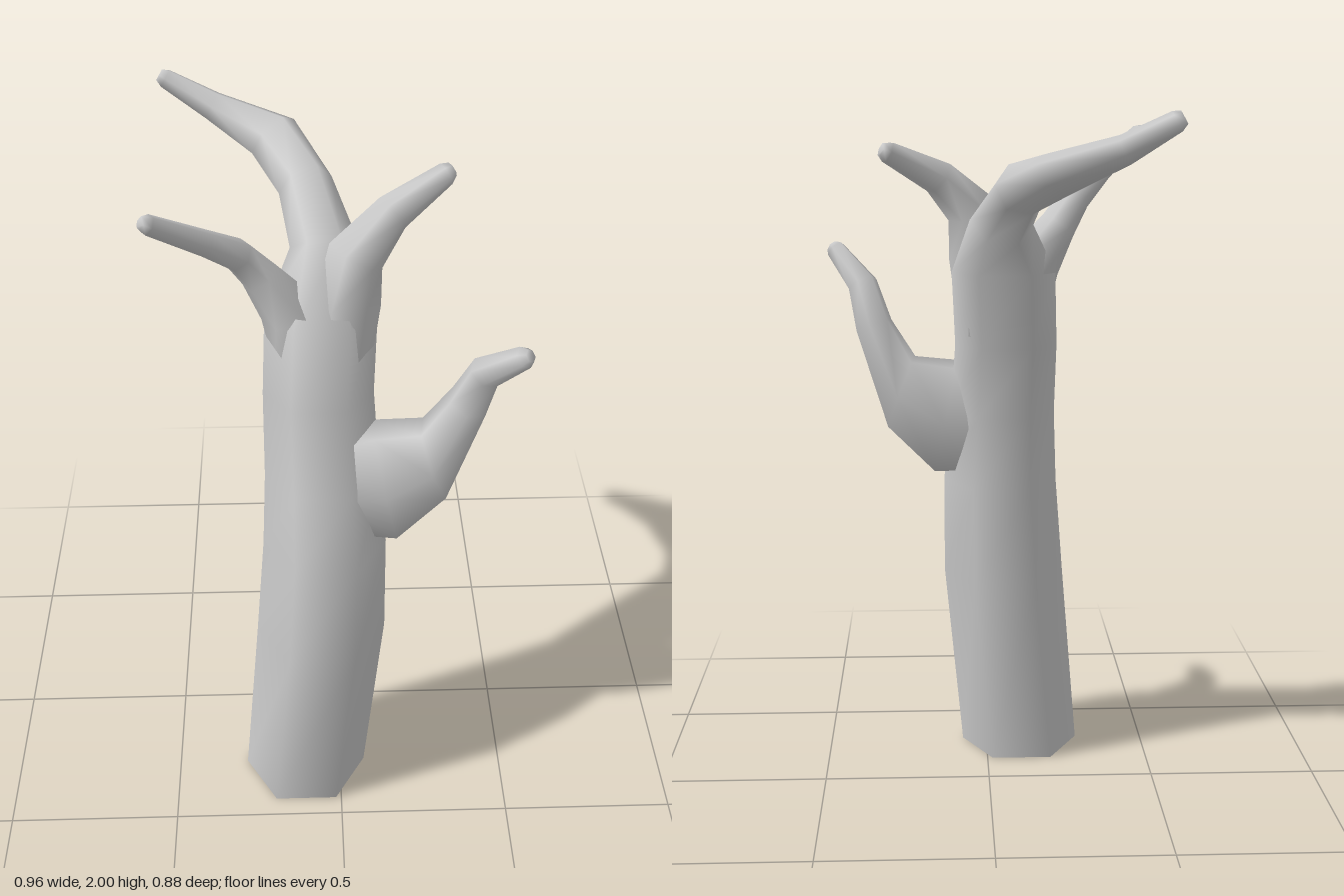
import * as THREE from 'three';

const UP = new THREE.Vector3(0, 1, 0);
const SIDES = 6;

// Skins six-sided rings along a path; the start is left open, the tip is closed.
// Each ring: [x, y, z, radius along the ring's axis, other radius, optional ring normal]
function loft(name, rings, material, firstAxis) {
  const centres = rings.map(r => new THREE.Vector3(r[0], r[1], r[2]));
  const last = rings.length - 1;
  const across = firstAxis ?? UP.clone().cross(centres[last].clone().sub(centres[0]));
  const pos = [], index = [];
  rings.forEach((r, i) => {
    const tangent = new THREE.Vector3();
    if (r[5]) tangent.copy(r[5]).normalize();
    else {
      if (i > 0) tangent.add(centres[i].clone().sub(centres[i - 1]).normalize());
      if (i < last) tangent.add(centres[i + 1].clone().sub(centres[i]).normalize());
      tangent.normalize();
    }
    // Carry the ring's axis along the path so the skin does not twist
    across.addScaledVector(tangent, -across.dot(tangent)).normalize();
    const other = across.clone().cross(tangent);
    for (let j = 0; j < SIDES; j++) {
      const a = j / SIDES * Math.PI * 2;
      const p = centres[i].clone()
        .addScaledVector(across, Math.cos(a) * r[3])
        .addScaledVector(other, Math.sin(a) * r[4] / 0.866);
      pos.push(p.x, p.y, p.z);
    }
  });
  for (let i = 0; i < last; i++) {
    for (let j = 0; j < SIDES; j++) {
      const a = i * SIDES + j, b = i * SIDES + (j + 1) % SIDES;
      index.push(a, a + SIDES, b, b, a + SIDES, b + SIDES);
    }
  }
  const tip = last * SIDES;
  for (let j = 1; j < SIDES - 1; j++) index.push(tip, tip + j + 1, tip + j);
  const geometry = new THREE.BufferGeometry();
  geometry.setAttribute('position', new THREE.Float32BufferAttribute(pos, 3));
  geometry.setIndex(index);
  geometry.computeVertexNormals();
  const mesh = new THREE.Mesh(geometry, material);
  mesh.name = name;
  return mesh;
}

export function createModel() {
  const group = new THREE.Group();
  group.name = 'bareTree';
  const bark = new THREE.MeshStandardMaterial({ color: 0xcccccc, side: THREE.DoubleSide });

  // Trunk from level extents: [y, xMin, xMax, zMin, zMax]
  const trunk = [
    [0, -0.29, 0.075, 0.13, 0.44],
    [0.58, -0.24, 0.13, 0.12, 0.44],
    [0.88, -0.215, 0.13, 0.115, 0.395],
    [1.1, -0.205, 0.11, 0.11, 0.34],
    [1.32, -0.205, 0.095, 0.05, 0.25],
    [1.54, -0.195, 0.105, -0.015, 0.21],
  ].map(([y, x0, x1, z0, z1]) =>
    [(x0 + x1) / 2, y, (z0 + z1) / 2, (x1 - x0) / 2, (z1 - z0) / 2, UP]);

  // The trunk bends on into the long back branch
  const backBranch = [
    [-0.035, 1.69, 0.0, 0.09, 0.09, new THREE.Vector3(-0.1, 0.8, -0.55)],
    [-0.08, 1.79, -0.14, 0.075, 0.065],
    [-0.165, 1.84, -0.335, 0.08, 0.045],
    [-0.33, 1.905, -0.395, 0.043, 0.033],
    [-0.455, 1.975, -0.417, 0.028, 0.025],
    [-0.472, 1.985, -0.42, 0.018, 0.017],
  ];
  group.add(loft('trunkAndBackBranch', [...trunk, ...backBranch], bark,
    new THREE.Vector3(1, 0, 0)));

  // Low side branch with a broad root
  group.add(loft('lowerLeftBranch', [
    [0.0, 1.06, 0.235, 0.08, 0.14, new THREE.Vector3(1, 0.25, 0)],
    [0.125, 1.085, 0.24, 0.105, 0.165, new THREE.Vector3(1, 0.2, 0)],
    [0.257, 1.16, 0.245, 0.09, 0.107, new THREE.Vector3(0.94, 0.35, 0.1)],
    [0.338, 1.36, 0.265, 0.06, 0.05],
    [0.372, 1.48, 0.305, 0.045, 0.04],
    [0.455, 1.575, 0.382, 0.028, 0.027],
    [0.467, 1.585, 0.392, 0.016, 0.016],
  ], bark));

  // Two shorter branches forking from the crown
  group.add(loft('upperRightBranch', [
    [-0.095, 1.4, 0.13, 0.06, 0.07],
    [-0.12, 1.555, 0.115, 0.085, 0.075, new THREE.Vector3(-0.3, 1, 0)],
    [-0.203, 1.67, 0.122, 0.055, 0.046],
    [-0.255, 1.748, 0.155, 0.046, 0.038],
    [-0.335, 1.823, 0.225, 0.034, 0.03],
    [-0.458, 1.925, 0.318, 0.024, 0.023],
    [-0.472, 1.936, 0.328, 0.014, 0.014],
  ], bark));

  group.add(loft('upperLeftBranch', [
    [0.015, 1.36, 0.135, 0.06, 0.06],
    [0.025, 1.58, 0.115, 0.088, 0.075],
    [0.045, 1.715, 0.11, 0.085, 0.062],
    [0.14, 1.81, 0.06, 0.05, 0.045],
    [0.28, 1.883, -0.007, 0.028, 0.028],
    [0.297, 1.892, -0.015, 0.018, 0.018],
  ], bark));

  return group;
}
